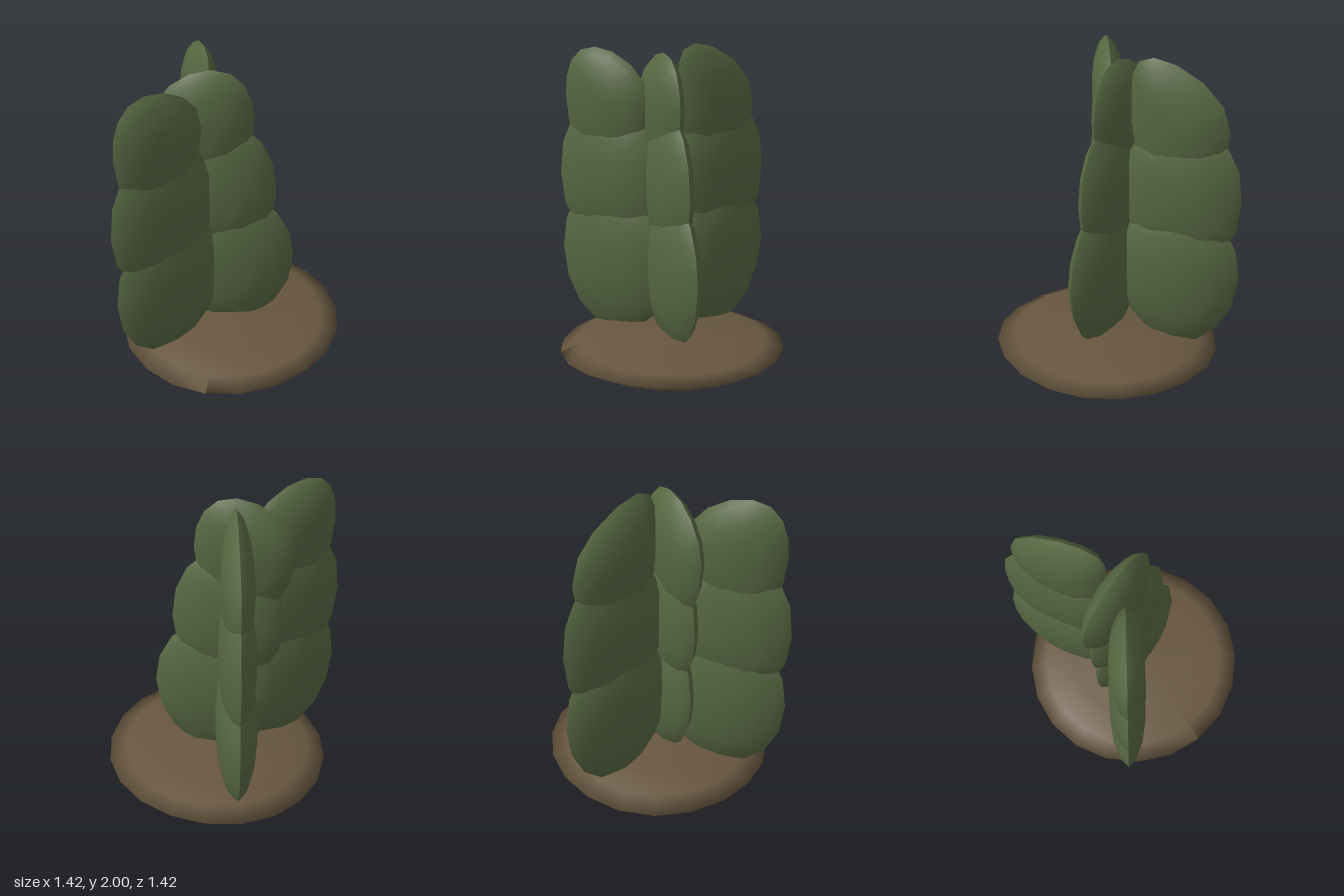
import * as THREE from 'three';

const green = new THREE.MeshStandardMaterial({ color: 0x566641 });
green.name = 'cactus green';
const brown = new THREE.MeshStandardMaterial({ color: 0x67563f });
brown.name = 'soil brown';

// Lens-shaped pad: a rounded outline in (u, y) swelling to both sides, creased at its rim.
// low / wide / high are the heights of the bottom, widest line and tip; skew shifts the tip.
function padGeometry({ inner, outer, low, wide, high, thick, skew = 0, power = 2 }) {
  const sides = 16;
  const rings = [[1, 0], [0.88, 0.42], [0.6, 0.8], [0.3, 0.96], [0, 1]];
  const mid = (inner + outer) / 2, half = (outer - inner) / 2;
  const bend = (v) => Math.sign(v) * Math.pow(Math.abs(v), 2 / power);
  const positions = [], index = [];
  for (const side of [1, -1]) {
    const base = positions.length / 3;
    for (const [r, t] of rings) {
      for (let i = 0; i < sides; i++) {
        const a = (i / sides) * Math.PI * 2;
        const c = bend(Math.cos(a)), s = bend(Math.sin(a));
        const u = half * c + (s > 0 ? skew * s * s : 0);
        const y = s * (s > 0 ? high - wide : wide - low);
        positions.push(mid + u * r, wide + y * r, side * t * thick / 2);
      }
    }
    for (let k = 0; k < rings.length - 1; k++) {
      for (let i = 0; i < sides; i++) {
        const a = base + k * sides + i, b = base + k * sides + (i + 1) % sides;
        const c = a + sides, d = b + sides;
        const faces = k === rings.length - 2 ? [[a, b, c]] : [[a, b, d], [a, d, c]];
        for (const [p, q, s] of faces) index.push(...(side > 0 ? [p, q, s] : [p, s, q]));
      }
    }
    // Merge the centre onto one vertex so its normal is smooth
    const centre = base + (rings.length - 1) * sides;
    for (let i = 0; i < index.length; i++) {
      if (index[i] >= centre && index[i] < centre + sides) index[i] = centre;
    }
  }
  const g = new THREE.BufferGeometry();
  g.setAttribute('position', new THREE.Float32BufferAttribute(positions, 3));
  g.setIndex(index);
  g.computeVertexNormals();
  return g;
}

// Three upright stems, each a stack of pads in one vertical plane
const stems = [
  {
    name: 'backStem', dir: [-0.45, -0.89], at: [-0.085, 0.043],
    pads: [
      { inner: 0.02, outer: 0.82, low: 0.13, wide: 0.68, high: 1.13, thick: 0.25 },
      { inner: 0.06, outer: 0.81, low: 0.7, wide: 1.17, high: 1.62, thick: 0.22, power: 2.3 },
      { inner: 0.115, outer: 0.72, low: 1.2, wide: 1.6, high: 2.0, thick: 0.19, skew: -0.17 },
    ],
  },
  {
    name: 'frontStem', dir: [-0.61, 0.79], at: [-0.036, -0.027],
    pads: [
      { inner: 0.04, outer: 0.84, low: 0.12, wide: 0.64, high: 1.13, thick: 0.23, power: 2.1 },
      { inner: 0.1, outer: 0.845, low: 0.7, wide: 1.14, high: 1.62, thick: 0.22, power: 2.3 },
      { inner: 0.18, outer: 0.79, low: 1.18, wide: 1.65, high: 1.97, thick: 0.2, skew: 0.08 },
    ],
  },
  {
    name: 'leftStem', dir: [0.97, -0.24], at: [0.0, 0.005],
    pads: [
      { inner: -0.38, outer: 0.4, low: 0.12, wide: 0.63, high: 1.12, thick: 0.24 },
      { inner: -0.41, outer: 0.28, low: 0.7, wide: 1.13, high: 1.62, thick: 0.23, power: 2.1 },
      { inner: -0.46, outer: 0.14, low: 1.18, wide: 1.63, high: 1.96, thick: 0.2, skew: 0.05 },
    ],
  },
];

// Mound of soil: a shallow lens with a slightly uneven rim
function soilGeometry() {
  const profile = [[0, 0], [0.36, 0.018], [0.58, 0.06], [0.71, 0.12], [0.6, 0.165], [0.42, 0.195], [0, 0.228]]
    .map(([x, y]) => new THREE.Vector2(x, y));
  const g = new THREE.LatheGeometry(profile, 20);
  const p = g.attributes.position;
  for (let i = 0; i < p.count; i++) {
    const x = p.getX(i), z = p.getZ(i), r = Math.hypot(x, z) / 0.71;
    const a = Math.atan2(z, x);
    const lift = 0.03 * Math.cos(a) + 0.008 * Math.sin(3 * a);
    p.setY(i, Math.max(0, p.getY(i) + lift * Math.pow(r, 5)));
  }
  g.computeVertexNormals();
  return g;
}

export function createModel() {
  const model = new THREE.Group();
  model.name = 'cactus';

  const soil = new THREE.Mesh(soilGeometry(), brown);
  soil.name = 'soil';
  model.add(soil);

  const padNames = ['lowerPad', 'middlePad', 'topPad'];
  for (const { name, dir, at, pads } of stems) {
    const stem = new THREE.Group();
    stem.name = name;
    stem.position.set(at[0], 0, at[1]);
    stem.rotation.y = Math.atan2(-dir[1], dir[0]);
    pads.forEach((pad, i) => {
      const mesh = new THREE.Mesh(padGeometry(pad), green);
      mesh.name = padNames[i];
      stem.add(mesh);
    });
    model.add(stem);
  }
  return model;
}
